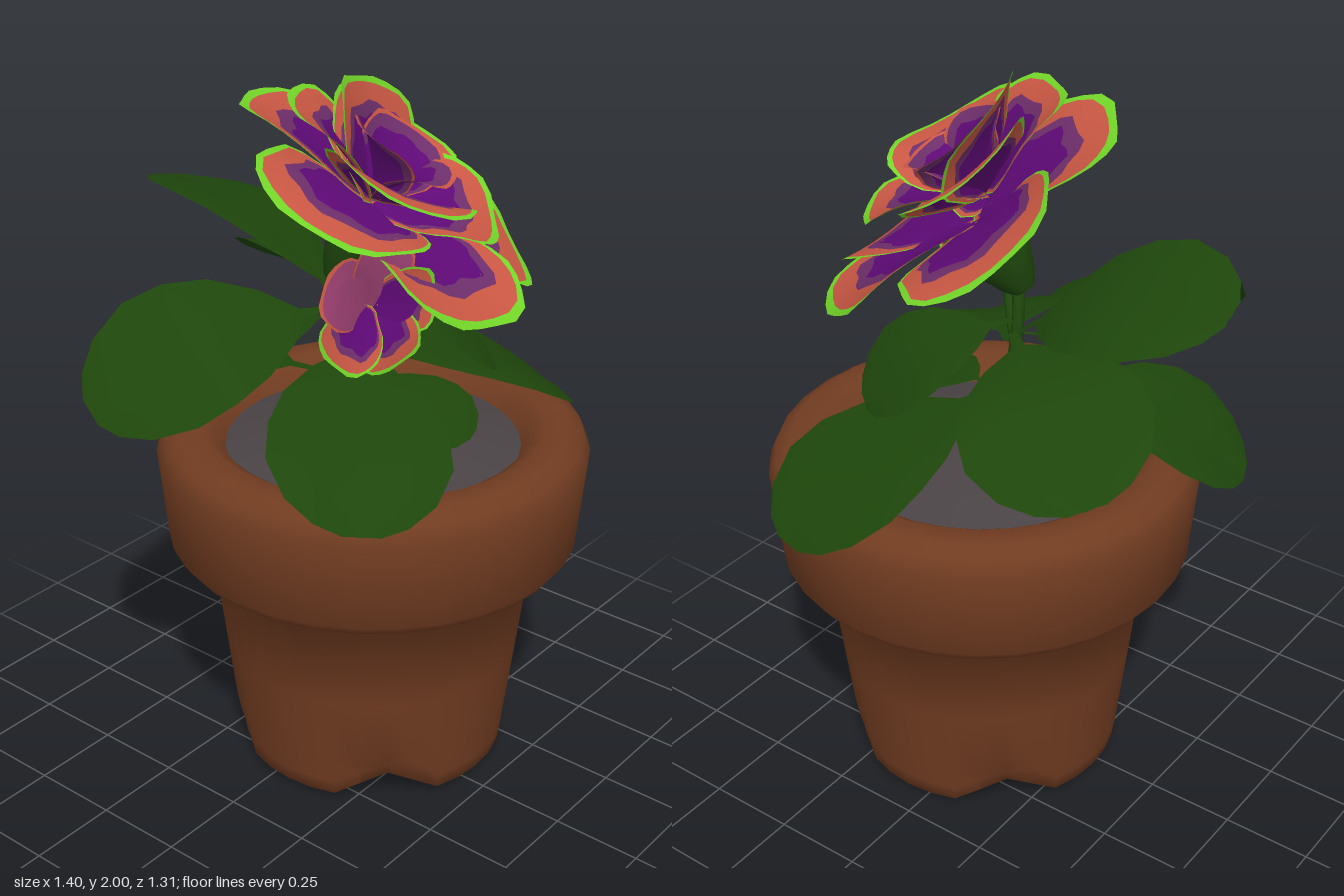
import * as THREE from 'three';
import { toCreasedNormals } from 'three/addons/utils/BufferGeometryUtils.js';

const V = (x, y, z) => new THREE.Vector3(x, y, z);
const mat = (name, color, side = THREE.FrontSide) => {
  const m = new THREE.MeshStandardMaterial({ color, side });
  m.name = name;
  return m;
};
const DS = THREE.DoubleSide;
const terracotta = mat('terracotta', 0x713c21);
const earth = mat('earth', 0x4a4345);
const leafGreen = mat('leaf green', 0x1e460b, DS);
const purple = mat('petal purple', 0x600a78, DS);
const mauve = mat('petal mauve', 0x6f2f6c, DS);
const coral = mat('petal coral', 0xcb5844, DS);
const lime = mat('petal lime', 0x74d828, DS);
const pink = mat('petal pink', 0x9a4070, DS);

function add(parent, name, geometry, material) {
  const m = new THREE.Mesh(geometry, material);
  m.name = name;
  parent.add(m);
  return m;
}

function group(parent, name, at) {
  const g = new THREE.Group();
  g.name = name;
  g.position.copy(at);
  parent.add(g);
  return g;
}

function surface(pos, idx) {
  const g = new THREE.BufferGeometry();
  g.setAttribute('position', new THREE.Float32BufferAttribute(pos, 3));
  g.setIndex(idx);
  g.computeVertexNormals();
  return g;
}

// Pot: turned profile, its foot raised into four drainage notches on the diagonals
function potGeometry() {
  const profile = [[0, .1], [.17, .09], [.24, .025], [.35, .01], [.38, .025], [.387, .07], [.395, .14], [.42, .35],
    [.452, .625], [.55, .67], [.572, .7], [.595, .95], [.575, .995], [.535, 1.02], [.47, 1.02], [.425, .99], [.39, .92]];
  const g = new THREE.LatheGeometry(profile.map(p => new THREE.Vector2(...p)), 32);
  const p = g.attributes.position;
  for (let i = 0; i < p.count; i++) {
    const y = p.getY(i);
    const d = Math.abs(Math.atan2(Math.abs(p.getX(i)), Math.abs(p.getZ(i))) - Math.PI / 4);
    if (y < .08 && d < .21) p.setY(i, y + (d < .1 ? .09 - y * .4 : .045));
  }
  return toCreasedNormals(g, 1.25);
}

// Leaf: blunt outline on a short stalk, arched along its length and folded at the midrib
function leafGeometry(base, tip, width, arch, roll) {
  const us = [0, .13, .24, .4, .56, .72, .87, .96, 1];
  const ws = [.05, .07, .45, .8, .97, 1, .8, .5, .2];
  const dir = tip.clone().sub(base);
  const axis = dir.clone().normalize();
  const side = V(0, 1, 0).cross(axis).normalize().applyAxisAngle(axis, roll);
  const up = axis.clone().cross(side);
  const pos = [], idx = [], cols = 5;
  us.forEach((u, i) => {
    for (let j = 0; j < cols; j++) {
      const v = j / 2 - 1;
      const half = ws[i] * width / 2;
      const lift = arch * Math.sin(Math.PI * u) + half * (.22 * Math.abs(v) - .2 * v * v);
      const q = base.clone().addScaledVector(dir, u)
        .addScaledVector(side, v * half).addScaledVector(up, lift);
      pos.push(q.x, q.y, q.z);
      if (i && j) {
        const a = (i - 1) * cols + j - 1, b = i * cols + j - 1;
        idx.push(a, b, a + 1, b, b + 1, a + 1);
      }
    }
  });
  return surface(pos, idx);
}

// Petal: nested outlines give the colour bands; it grows along +z and cups towards +y
const petalMaterials = [purple, mauve, coral, lime];
function petalGeometry(L, W, cup) {
  const levels = [.02, .35, .64, .75, .94, 1], band = [0, 0, 1, 2, 3], n = 26;
  const pos = [], idx = [], z0 = .12 * L;
  levels.forEach((s, r) => {
    for (let k = 0; k <= n; k++) {
      const t = k / n * Math.PI * 2;
      const ripple = 1 + .035 * Math.cos(5 * t) + .02 * Math.sin(8 * t);
      const ox = Math.sin(t) * W / 2 * (1 - .22 * Math.cos(t)) * ripple;
      const oz = L * (.5 - .5 * Math.cos(t) * ripple);
      const wave = s * (1 + .22 * s * (1 - s) * Math.cos(7 * t + r));
      const x = wave * ox, z = z0 + wave * (oz - z0), f = z / L;
      pos.push(x, cup * (x * x / L + L * (f * .9 - f * f * f * .9)), z);
      if (r && k) {
        const a = (r - 1) * (n + 1) + k - 1, b = a + n + 1;
        idx.push(a, b, a + 1, b, b + 1, a + 1);
      }
    }
  });
  const g = surface(pos, idx);
  band.forEach((m, r) => g.addGroup(r * n * 6, n * 6, m));
  return g;
}

function petalRing(parent, name, { count, L, W, cup, tilt, start, lift = 0 }, pick = () => petalMaterials) {
  const g = petalGeometry(L, W, cup);
  for (let k = 0; k < count; k++) {
    const m = add(parent, name, g, pick(k));
    m.rotation.order = 'YXZ';
    m.rotation.set(-tilt - .07 * (k % 2), start + k * Math.PI * 2 / count, .1);
    m.position.y = lift + .006 * k;
  }
}

function flowerHead(parent, name, at, normal) {
  const f = group(parent, name, at);
  f.quaternion.setFromUnitVectors(V(0, 1, 0), normal.normalize());
  return f;
}

function stem(parent, name, points, radius) {
  const curve = new THREE.CatmullRomCurve3(points);
  add(parent, name, new THREE.TubeGeometry(curve, 10, radius, 8), leafGreen);
}

// Calyx: flared cup below a flower, hanging down its local axis
function calyx(parent, r, h) {
  const pts = [[.3, -1], [.5, -.85], [.8, -.5], [.95, -.1], [1, .05]];
  add(parent, 'calyx', new THREE.LatheGeometry(pts.map(([x, y]) => new THREE.Vector2(x * r, y * h)), 12), leafGreen);
}

export function createModel() {
  const model = new THREE.Group();
  model.name = 'pottedFlower';

  const pot = group(model, 'pot', V(.045, 0, .06));
  add(pot, 'potBody', potGeometry(), terracotta);
  const mound = [[.42, .95], [.3, .98], [.15, 1.015], [0, 1.03]].map(p => new THREE.Vector2(...p));
  add(pot, 'soil', new THREE.LatheGeometry(mound, 24), earth);

  // Leaves: base, tip, width, arch, roll
  const leaves = [
    [V(0, 1.34, -.02), V(-.01, 1.58, -.65), .48, .08, .3],
    [V(-.04, 1.16, -.05), V(-.27, .97, -.58), .48, .09, 0],
    [V(.03, 1.35, -.02), V(.44, 1.21, -.54), .49, .07, .25],
    [V(-.06, 1.36, 0), V(-.69, 1.21, -.27), .43, .1, -.5],
    [V(-.02, 1.29, .03), V(-.51, 1.03, .46), .47, .05, -.12],
    [V(.06, 1.18, .02), V(.68, .94, .22), .53, .07, .1],
    [V(.02, 1.17, .06), V(.02, 1.05, .38), .3, .03, 0],
    [V(0, 1.37, 0), V(.3, 1.17, .27), .46, .05, 0],
    [V(-.02, 1.33, -.02), V(-.23, 1.15, -.21), .28, .04, 0],
  ];
  const foliage = group(model, 'foliage', V(0, 0, 0));
  leaves.forEach(l => add(foliage, 'leaf', leafGeometry(...l), leafGreen));

  stem(model, 'mainStem', [V(.02, .98, .03), V(.01, 1.2, 0), V(-.01, 1.36, -.01), V(-.04, 1.46, .01)], .017);
  stem(model, 'sideStem', [V(-.01, 1.3, 0), V(-.08, 1.4, .07), V(-.2, 1.48, .16)], .015);

  // Large layered bloom: a wide outer ring with a tighter rosette set off centre
  const bloom = flowerHead(model, 'bloom', V(.01, 1.63, .1), V(.27, .85, .46));
  calyx(bloom, .11, .22);
  petalRing(bloom, 'outerPetal', { count: 5, L: .46, W: .47, cup: .2, tilt: 0, start: -.17 });
  const rosette = group(bloom, 'rosette', V(-.08, .03, 0));
  petalRing(rosette, 'middlePetal', { count: 4, L: .34, W: .4, cup: .28, tilt: .36, start: .75 });
  petalRing(rosette, 'backPetal', { count: 1, L: .32, W: .4, cup: .2, tilt: .8, start: Math.PI, lift: .01 });
  petalRing(rosette, 'innerPetal', { count: 3, L: .22, W: .24, cup: .4, tilt: .8, start: .2, lift: .02 },
    () => [purple, purple, mauve, coral]);

  // Small side bloom, its upper petals plain pink
  const small = flowerHead(model, 'sideBloom', V(-.265, 1.51, .28), V(-.35, .1, .9));
  calyx(small, .06, .14);
  const upper = [pink, pink, pink, coral];
  petalRing(small, 'smallPetal', { count: 5, L: .18, W: .18, cup: .2, tilt: .15, start: 0 },
    k => (k === 2 || k === 3 ? upper : petalMaterials));

  return model;
}
